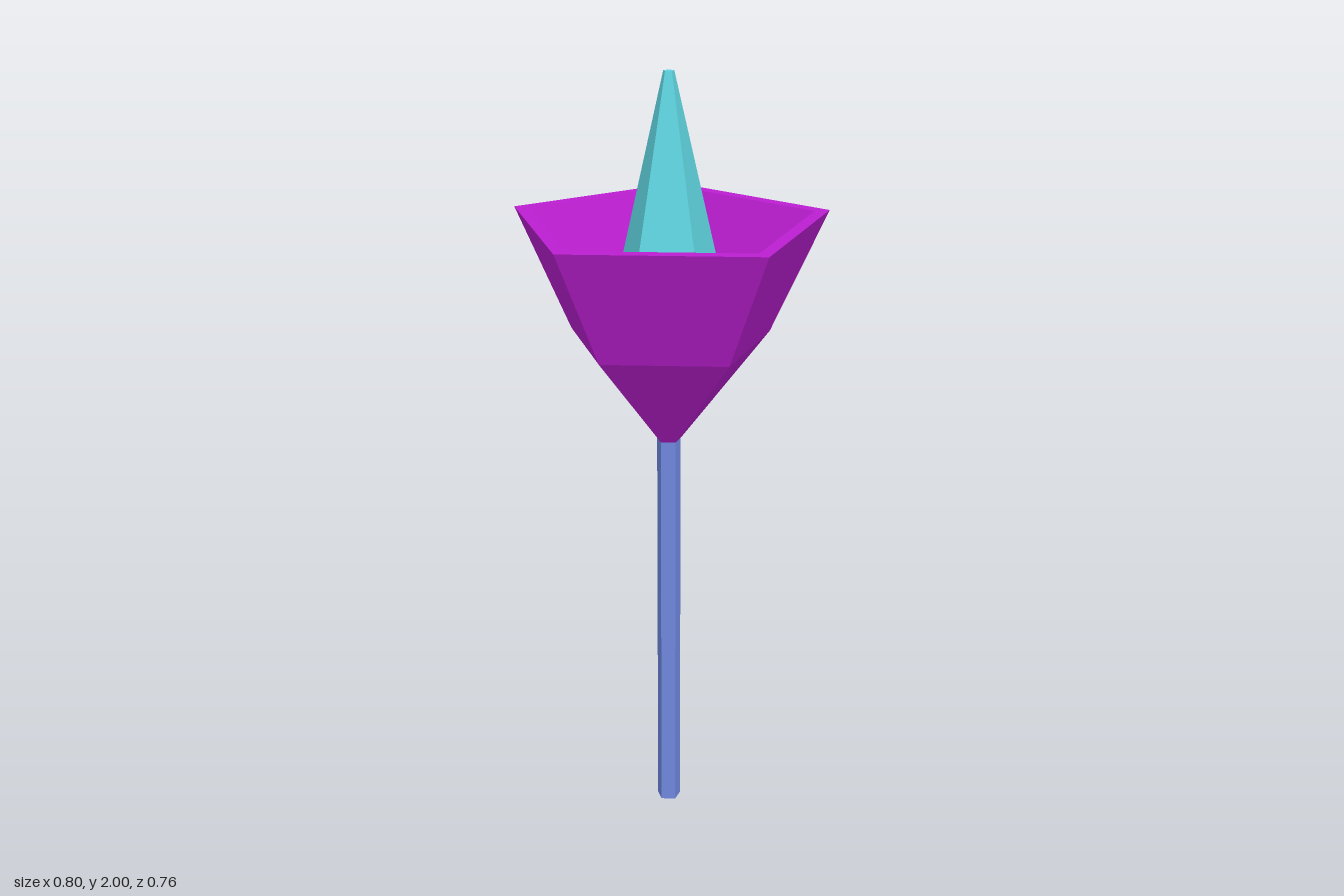
import * as THREE from 'three';

const SIDES = 5;

// Five-sided solid turned from a [radius, height] profile, one corner facing the back
function turned(name, profile, color) {
  const points = profile.map(([r, y]) => new THREE.Vector2(r, y));
  const geometry = new THREE.LatheGeometry(points, SIDES, Math.PI, Math.PI * 2);
  const material = new THREE.MeshStandardMaterial({ color, flatShading: true });
  const mesh = new THREE.Mesh(geometry, material);
  mesh.name = name;
  mesh.position.z = 0.04;
  return mesh;
}

export function createModel() {
  const group = new THREE.Group();
  group.name = 'flower';

  // Thin straight stem
  group.add(turned('stem', [[0, 0], [0.032, 0], [0.032, 1.06], [0, 1.06]], 0x7088e0));

  // Hollow cup: outer wall, flat rim, inner wall, floor
  group.add(turned('cup', [
    [0, 1.06], [0.032, 1.06], [0.268, 1.33], [0.42, 1.635],
    [0.38, 1.635], [0.254, 1.37], [0, 1.37],
  ], 0xbb1ed1));

  // Tapered spike standing on the cup floor
  group.add(turned('spike', [[0, 1.37], [0.163, 1.37], [0.014, 2], [0, 2]], 0x5fd3df));

  return group;
}
